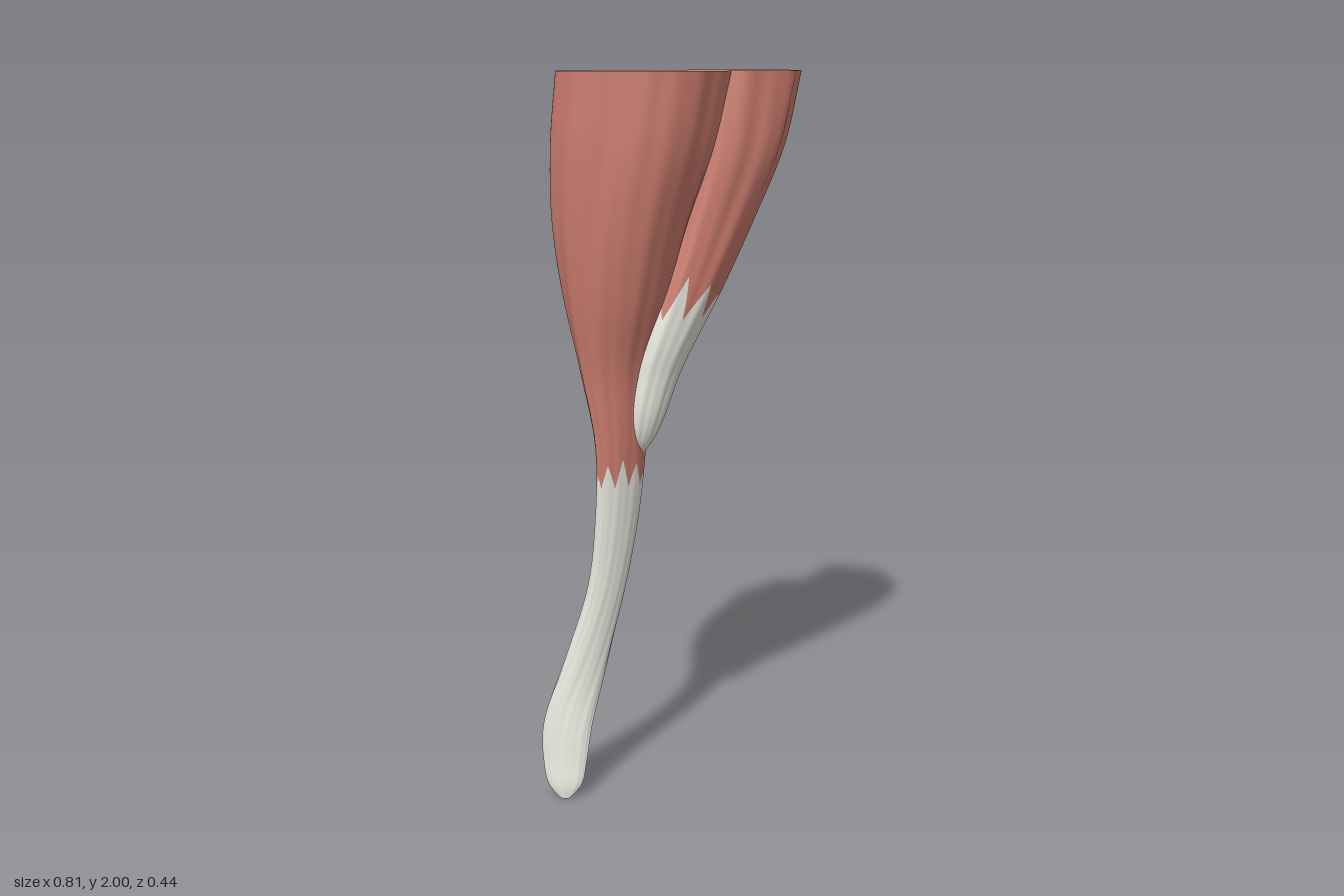
import * as THREE from 'three';

const COLS = 120;
const RED = 0xc97a6c, PALE = 0xe4e3da;

// Cross-sections, rising: y, centre x, centre z, half width, half depth, turn
const LONG_HEAD = [
  [0, -0.386, -0.068, 0.014, 0.006, 0.85],
  [0.03, -0.382, -0.072, 0.042, 0.014, 0.85],
  [0.1, -0.37, -0.085, 0.06, 0.02, 0.85],
  [0.2, -0.35, -0.095, 0.068, 0.027, 0.8],
  [0.4, -0.28, -0.082, 0.064, 0.033, 0.35],
  [0.6, -0.222, -0.062, 0.063, 0.032, 0.1],
  [0.8, -0.19, -0.053, 0.076, 0.036, 0],
  [1.0, -0.178, -0.05, 0.088, 0.043, 0],
  [1.2, -0.175, -0.07, 0.115, 0.072, 0],
  [1.4, -0.17, -0.068, 0.155, 0.122, 0],
  [1.6, -0.162, -0.052, 0.185, 0.16, 0],
  [1.8, -0.14, -0.023, 0.21, 0.188, 0],
  [2.0, -0.12, 0, 0.217, 0.202, 0],
];
const SHORT_HEAD = [
  [0.96, -0.125, -0.035, 0.012, 0.012, 0],
  [1.0, -0.124, -0.032, 0.042, 0.036, 0],
  [1.2, -0.075, -0.02, 0.085, 0.07, 0],
  [1.4, 0.005, 0.002, 0.115, 0.104, 0],
  [1.6, 0.085, 0.014, 0.145, 0.14, 0],
  [1.8, 0.155, 0.024, 0.175, 0.176, 0],
  [2.0, 0.197, 0.02, 0.2, 0.198, 0],
];

// Outlines of the cut ends, in unit coordinates (x, z)
const LONG_OUTLINE = [[1, 0], [0.95, 0.4], [0.7, 0.78], [0.1, 1], [-0.4, 0.84], [-0.7, 0.4], [-0.95, -0.1],
  [-1, -0.45], [-0.8, -0.78], [-0.35, -0.97], [0.2, -1], [0.75, -0.93], [0.95, -0.5]];
const SHORT_OUTLINE = [[1, -0.1], [0.7, 0.55], [0.4, 0.85], [0, 1], [-0.5, 0.9], [-0.85, 0.65], [-1, 0],
  [-0.75, -0.6], [-0.3, -0.83], [0.1, -0.88], [0.35, -1], [0.65, -0.95], [0.85, -0.6]];

// Returns point(u, y) on the surface of one muscle head
function makeSurface(sections, outline, phase) {
  const interpolant = new THREE.CubicInterpolant(
    sections.map(s => s[0]), sections.flatMap(s => s.slice(1)), 5, new Float32Array(5));
  const curve = new THREE.CatmullRomCurve3(outline.map(([x, z]) => new THREE.Vector3(x, 0, z)), true);
  const ring = Array.from({ length: COLS }, (_, j) => curve.getPoint(j / COLS));
  return (j, y) => {
    const [cx, cz, rx, rz, turn] = interpolant.evaluate(y);
    const p = ring[j % COLS];
    const angle = Math.atan2(p.z, p.x);
    // round below, shaped outline above, with shallow lengthwise fibres
    const w = THREE.MathUtils.smoothstep(y, 1.1, 1.9);
    const fibre = 1 + 0.014 * Math.sin(9 * angle + phase + 2.5 * y) + 0.01 * Math.sin(17 * angle + phase - 3 * y);
    const x = THREE.MathUtils.lerp(Math.cos(angle), p.x, w) * rx * fibre;
    const z = THREE.MathUtils.lerp(Math.sin(angle), p.z, w) * rz * fibre;
    const c = Math.cos(turn), s = Math.sin(turn);
    return [cx + x * c - z * s, y, cz + x * s + z * c];
  };
}

function makeMesh(name, positions, index, color) {
  const geometry = new THREE.BufferGeometry();
  geometry.setAttribute('position', new THREE.Float32BufferAttribute(positions, 3));
  geometry.setIndex(index);
  geometry.computeVertexNormals();
  const mesh = new THREE.Mesh(geometry, new THREE.MeshStandardMaterial({ color }));
  mesh.name = name;
  return mesh;
}

// Skin between two heights, each a function of the column
function skin(name, surface, top, bottom, rows, color) {
  const positions = [], index = [];
  for (let i = 0; i <= rows; i++) {
    for (let j = 0; j < COLS; j++) {
      positions.push(...surface(j, THREE.MathUtils.lerp(top(j), bottom(j), i / rows)));
      if (i === rows) continue;
      const a = i * COLS + j, b = i * COLS + (j + 1) % COLS;
      index.push(a, b, a + COLS, b, b + COLS, a + COLS);
    }
  }
  return makeMesh(name, positions, index, color);
}

// Flat end of a head
function cap(name, surface, sections, y, up, color) {
  const [, cx, cz] = sections.find(s => s[0] === y);
  const positions = [cx, y, cz], index = [];
  for (let j = 0; j < COLS; j++) {
    positions.push(...surface(j, y));
    const a = 1 + j, b = 1 + (j + 1) % COLS;
    index.push(0, ...(up ? [b, a] : [a, b]));
  }
  return makeMesh(name, positions, index, color);
}

// Ragged line where muscle turns into tendon
function raggedSeam(base, height, teeth, dip) {
  return j => {
    const u = j / COLS, t = u * teeth, k = Math.floor(t);
    const size = 0.45 + 0.55 * Math.abs(Math.sin(k * 2.3 + 1));
    const tooth = (1 - Math.abs(2 * (t - k) - 1)) * size;
    const towardLeft = Math.max(0, Math.cos(u * Math.PI * 2)) ** 4;
    return base + height * tooth - dip * towardLeft;
  };
}

function makeHead(name, sections, outline, phase, seam) {
  const head = new THREE.Group();
  head.name = name;
  const surface = makeSurface(sections, outline, phase);
  const low = sections[0][0];
  head.add(
    skin('muscleBelly', surface, () => 2, seam, 40, RED),
    skin('tendon', surface, seam, () => low, 48, PALE),
    cap('cutFace', surface, sections, 2, true, RED),
    cap('tendonEnd', surface, sections, low, false, PALE));
  return head;
}

export function createModel() {
  const model = new THREE.Group();
  model.name = 'twoHeadedMuscle';
  model.add(
    makeHead('longHead', LONG_HEAD, LONG_OUTLINE, 0.4, raggedSeam(0.88, 0.08, 12, 0.07)),
    makeHead('shortHead', SHORT_HEAD, SHORT_OUTLINE, 1.7, raggedSeam(1.34, 0.12, 10, 0.02)));
  return model;
}
